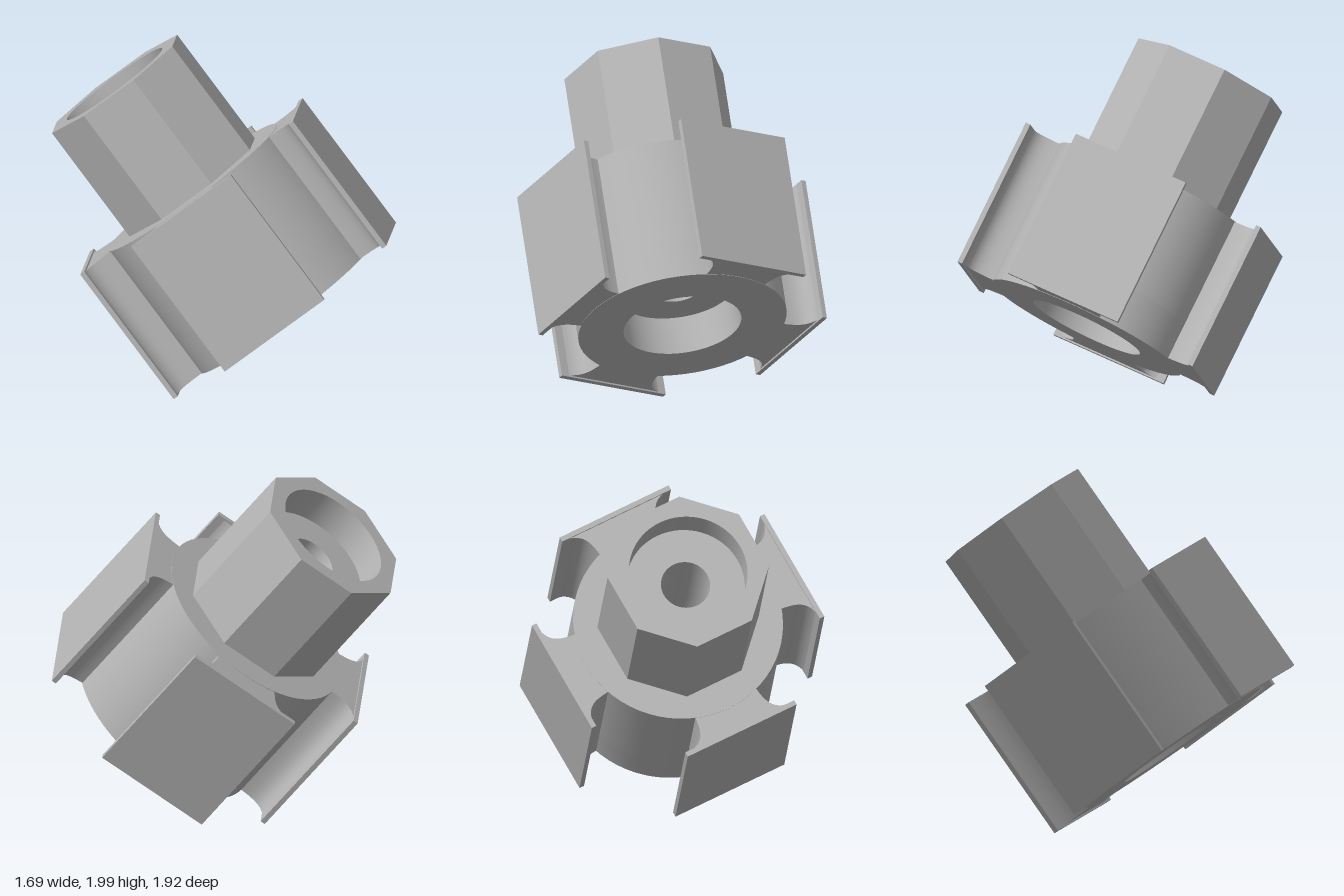
import * as THREE from 'three';
import { toCreasedNormals } from 'three/addons/utils/BufferGeometryUtils.js';

export function createModel() {
  const root = new THREE.Group();
  root.name = 'hub';
  const grey = new THREE.MeshStandardMaterial({ color: 0xb2b2b2 });
  grey.name = 'plain grey';

  // Tilted frame: local y is the bore axis, local x and z face the pads
  const part = new THREE.Group();
  part.name = 'tiltedHub';
  const axis = new THREE.Vector3(-0.141, 0.762, -0.633).normalize();
  const side = new THREE.Vector3(0.827, -0.251, -0.502);
  side.addScaledVector(axis, -side.dot(axis)).normalize();
  const face = new THREE.Vector3().crossVectors(side, axis);
  part.quaternion.setFromRotationMatrix(new THREE.Matrix4().makeBasis(side, axis, face));
  part.position.set(0, 0.855, 0.09);
  root.add(part);

  const add = (name, geometry, parent = part) => {
    const mesh = new THREE.Mesh(geometry, grey);
    mesh.name = name;
    parent.add(mesh);
    return mesh;
  };

  // Extrude a flat outline along the bore axis from y0 to y1
  const prism = (shape, y0, y1) => {
    const geo = new THREE.ExtrudeGeometry(shape, { depth: y1 - y0, bevelEnabled: false, curveSegments: 32 });
    geo.rotateX(-Math.PI / 2).translate(0, y0, 0);
    return toCreasedNormals(geo, 0.5);
  };
  const bored = (outline, r) => {
    outline.holes.push(new THREE.Path().absarc(0, 0, r, 0, Math.PI * 2, true));
    return outline;
  };
  const round = () => new THREE.Shape().absarc(0, 0, 0.575, 0, Math.PI * 2, false);
  const octagon = () => new THREE.Shape(Array.from({ length: 8 }, (_, i) => {
    const a = (i + 0.5) * Math.PI / 4;
    return new THREE.Vector2(0.445 * Math.cos(a), 0.445 * Math.sin(a));
  }));

  // Round body with a wide recess below, octagonal collar with one above
  const wide = 0.325, narrow = 0.135;
  add('bodyRim', prism(bored(round(), wide), -0.42, -0.2));
  add('bodyCore', prism(bored(round(), narrow), -0.2, 0.42));
  add('collarCore', prism(bored(octagon(), narrow), 0.42, 0.94));
  add('collarRim', prism(bored(octagon(), wide), 0.94, 1.13));

  // Four flared necks, each ending in a flat rectangular pad
  const flare = new THREE.Shape();
  flare.moveTo(-0.19, -0.46);
  flare.lineTo(-0.19, -0.54);
  flare.bezierCurveTo(-0.2, -0.64, -0.22, -0.695, -0.33, -0.705);
  flare.lineTo(0.33, -0.705);
  flare.bezierCurveTo(0.22, -0.695, 0.2, -0.64, 0.19, -0.54);
  flare.lineTo(0.19, -0.46);
  const neckGeo = prism(flare, -0.418, 0.418);
  const padGeo = new THREE.BoxGeometry(0.68, 0.855, 0.028);
  for (let i = 0; i < 4; i++) {
    const arm = new THREE.Group();
    arm.name = 'arm' + (i + 1);
    arm.rotation.y = i * Math.PI / 2;
    add('neck', neckGeo, arm);
    add('pad', padGeo, arm).position.z = 0.713;
    part.add(arm);
  }
  return root;
}
